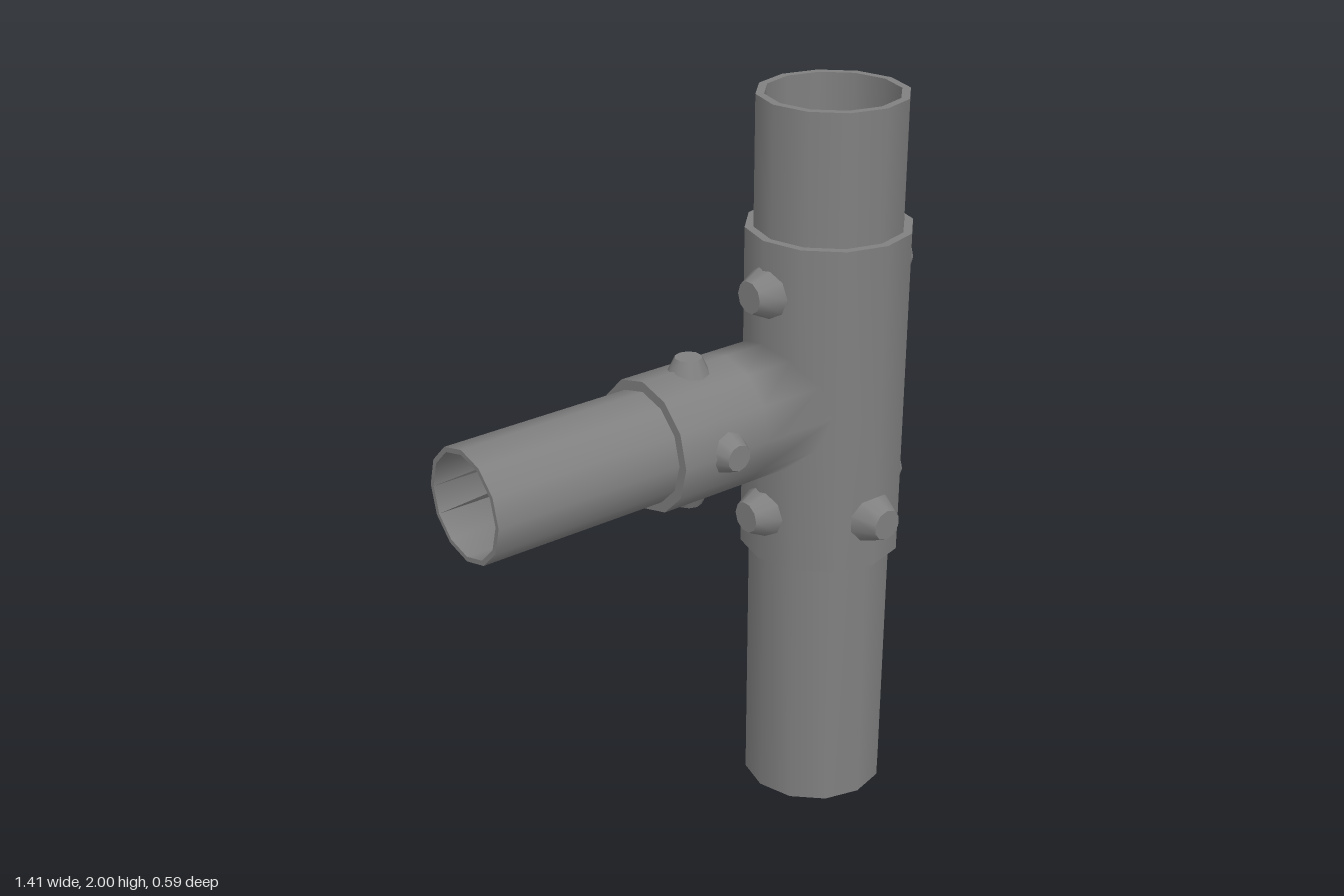
import * as THREE from 'three';
import { toCreasedNormals } from 'three/addons/utils/BufferGeometryUtils.js';

const material = new THREE.MeshStandardMaterial({ color: 0x808080 });
const SIDES = 12;

// Hollow tube along y, with outer rings at the given heights
function tube(outer, inner, ...ys) {
  const y0 = ys[0], y1 = ys[ys.length - 1];
  const profile = [...ys.map((y) => [outer, y]), [inner, y1], [inner, y0], [outer, y0]]
    .map(([r, y]) => new THREE.Vector2(r, y));
  return toCreasedNormals(new THREE.LatheGeometry(profile, SIDES), 0.8);
}

// Tube along -x, its inner end coped to a round wall and shaded to flow into it
function copedTube(outer, inner, wall, end) {
  const geo = tube(outer, inner, 0, 0.34, end).rotateZ(Math.PI / 2);
  const { position: p, normal: n } = geo.attributes;
  for (let i = 0; i < p.count; i++) {
    if (p.getX(i) < -0.01) continue;
    const z = p.getZ(i);
    const x = -Math.sqrt(wall * wall - z * z);
    p.setX(i, x);
    n.setXYZ(i, x / wall, 0, z / wall);
  }
  return geo;
}

function add(parent, name, geo) {
  const mesh = new THREE.Mesh(geo, material);
  mesh.name = name;
  parent.add(mesh);
  return mesh;
}

// Tapered screw boss pointing along dir, from distance d0 to d1 off the origin
function addBoss(parent, name, origin, dir, d0, d1, rBase, rTip) {
  const boss = add(parent, name, new THREE.CylinderGeometry(rTip, rBase, d1 - d0, 10));
  const d = new THREE.Vector3(...dir);
  boss.quaternion.setFromUnitVectors(new THREE.Vector3(0, 1, 0), d);
  boss.position.set(...origin).addScaledVector(d, (d0 + d1) / 2);
}

export function createModel() {
  const model = new THREE.Group();
  model.name = 'pipeTeeJoint';

  // Everything hangs on the joint centre, turned and tilted slightly
  const joint = new THREE.Group();
  joint.name = 'joint';
  joint.position.set(0.437, 1.2, -0.027);
  joint.rotation.set(0.004, 0.154, 0.004);
  model.add(joint);

  // Upright pipe and its sleeve
  add(joint, 'uprightPipe', tube(0.197, 0.175, -1.2, 0.8));
  add(joint, 'uprightSleeve', tube(0.22, 0.19, -0.45, 0.455));

  // Side branch pipe and its sleeve
  add(joint, 'branchPipe', copedTube(0.148, 0.135, 0.184, 1.132));
  add(joint, 'branchSleeve', copedTube(0.175, 0.144, 0.212, 0.603));

  // Screw bosses around the upright sleeve; the front one is only at the bottom
  const sides = { left: [1, 0, 0], right: [-1, 0, 0], back: [0, 0, -1], front: [0, 0, 1] };
  for (const [level, y] of [['upper', 0.314], ['lower', -0.312]]) {
    for (const [side, dir] of Object.entries(sides)) {
      if (level === 'upper' && side === 'front') continue;
      addBoss(joint, `${level}Boss_${side}`, [0, y, 0], dir, 0.2, 0.265, 0.074, 0.043);
    }
  }

  // Screw bosses on the branch sleeve
  const branchSides = { top: [0, 1, 0], bottom: [0, -1, 0], front: [0, 0, 1] };
  for (const [side, dir] of Object.entries(branchSides)) {
    addBoss(joint, `branchBoss_${side}`, [-0.459, 0, 0], dir, 0.16, 0.204, 0.056, 0.035);
  }
  return model;
}
